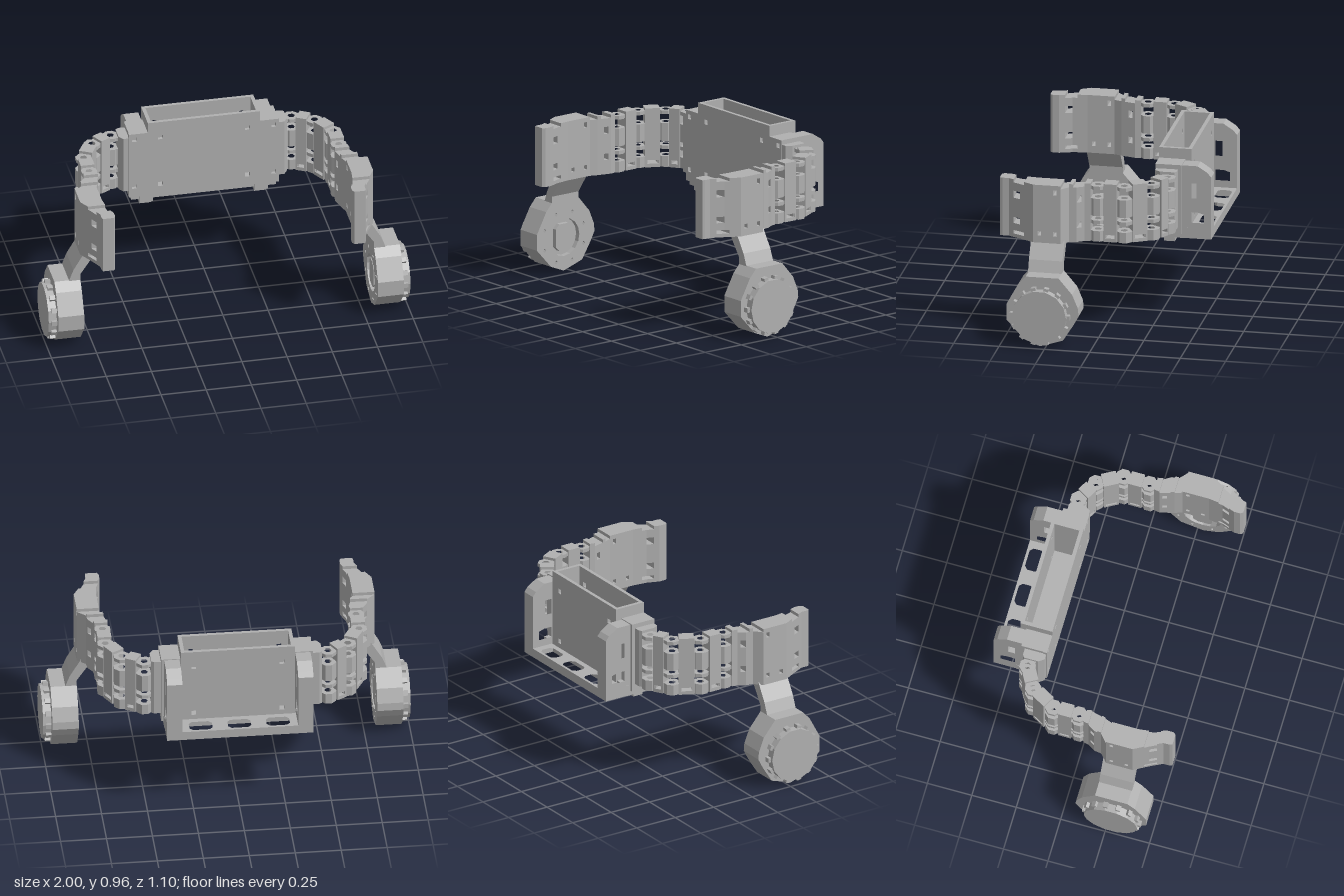
import * as THREE from 'three';

const grey = new THREE.MeshStandardMaterial({ color: 0xb0b0b0 });
grey.name = 'plain grey';

// Flat-faced copy of a geometry, mirrored in x when side is -1
function finish(geo, side) {
  const g = geo.index ? geo.toNonIndexed() : geo;
  if (side < 0) {
    const p = g.attributes.position;
    for (let i = 0; i < p.count; i += 3) {
      const a = [p.getX(i), p.getY(i), p.getZ(i)];
      p.setXYZ(i, p.getX(i + 2), p.getY(i + 2), p.getZ(i + 2));
      p.setXYZ(i + 2, ...a);
    }
    g.scale(-1, 1, 1);
  }
  g.computeVertexNormals();
  return g;
}

function add(group, name, geo, side = 1) {
  const mesh = new THREE.Mesh(finish(geo, side), grey);
  mesh.name = name;
  group.add(mesh);
}

function box(x0, x1, y0, y1, z0, z1) {
  return new THREE.BoxGeometry(x1 - x0, y1 - y0, z1 - z0)
    .translate((x0 + x1) / 2, (y0 + y1) / 2, (z0 + z1) / 2);
}

function extrude(points, holes, depth) {
  const shape = new THREE.Shape(points.map(p => new THREE.Vector2(...p)));
  for (const h of holes) shape.holes.push(new THREE.Path(h.map(p => new THREE.Vector2(...p))));
  return new THREE.ExtrudeGeometry(shape, { depth, bevelEnabled: false, curveSegments: 6 });
}
const negFirst = list => list.map(([z, y]) => [-z, y]);
const negSecond = list => list.map(([x, z]) => [x, -z]);
// (z, y) outline pushed along x
const alongX = (pts, x0, x1, holes = []) =>
  extrude(negFirst(pts), holes.map(negFirst), x1 - x0).rotateY(Math.PI / 2).translate(x0, 0, 0);
// (x, z) plan pushed along y
const alongY = (pts, y0, y1, holes = []) =>
  extrude(negSecond(pts), holes.map(negSecond), y1 - y0).rotateX(-Math.PI / 2).translate(0, y0, 0);
// (x, y) outline pushed along z
const alongZ = (pts, z0, z1, holes = []) => extrude(pts, holes, z1 - z0).translate(0, 0, z0);

const rect = (a0, a1, b0, b1) => [[a0, b0], [a1, b0], [a1, b1], [a0, b1]];
const chamfered = (a0, a1, b0, b1, c) => [[a0 + c, b0], [a1 - c, b0], [a1, b0 + c], [a1, b1 - c],
  [a1 - c, b1], [a0 + c, b1], [a0, b1 - c], [a0, b0 + c]];
const ngon = (a, b, r, n, turn = 0) => Array.from({ length: n }, (_, i) => {
  const t = turn + i / n * Math.PI * 2;
  return [a + r * Math.cos(t), b + r * Math.sin(t)];
});

// Central housing: hollow tray, side cheeks, slotted rear shelf and feet
function buildHousing(root) {
  const g = new THREE.Group();
  g.name = 'housing';
  const screws = xs => xs.flatMap(x => [0.57, 0.865].map(y => rect(x - 0.013, x + 0.013, y - 0.013, y + 0.013)));
  const front = [[-0.415, 0.505], [0.415, 0.505], [0.415, 0.9], [0.31, 0.9], [0.31, 0.96],
    [-0.31, 0.96], [-0.31, 0.9], [-0.415, 0.9]];
  add(g, 'frontPlate', alongZ(front, -0.265, -0.245, screws([-0.385, -0.24, 0.24, 0.385])));
  add(g, 'rearPanel', alongZ(rect(-0.31, 0.31, 0.52, 0.96), -0.425, -0.405, screws([-0.24, 0.24])));
  add(g, 'trayFloor', box(-0.4, 0.4, 0.48, 0.54, -0.42, -0.26));
  const slots = [-0.21, 0, 0.21].map(x => chamfered(x - 0.063, x + 0.063, -0.535, -0.455, 0.018));
  add(g, 'rearShelf', alongY(rect(-0.315, 0.315, -0.55, -0.415), 0.48, 0.53, slots));
  const cheek = [[-0.39, 0.48], [-0.39, 0.895], [-0.475, 0.895], [-0.53, 0.86], [-0.55, 0.835], [-0.55, 0.48]];
  const window = [[-0.43, 0.57], [-0.43, 0.63], [-0.475, 0.63], [-0.51, 0.62], [-0.51, 0.57]];
  for (const s of [1, -1]) {
    add(g, 'cheekBlock', box(0.31, 0.413, 0.505, 0.9, -0.39, -0.265), s);
    add(g, 'cheek', alongX(cheek, 0.315, 0.398, [window, rect(-0.47, -0.43, 0.71, 0.795)]), s);
    add(g, 'trayWall', box(0.29, 0.31, 0.54, 0.96, -0.41, -0.26), s);
    add(g, 'foot', box(0.285, 0.35, 0.44, 0.5, -0.34, -0.28), s);
    add(g, 'footStep', box(0.28, 0.355, 0.46, 0.53, -0.34, -0.255), s);
  }
  root.add(g);
}

// Hinge centres in plan (x, z)
const hinges = [[0.5, -0.33], [0.615, -0.265], [0.69, -0.13], [0.69, 0.015]];
const knuckleRows = [[0.545, 0.605], [0.645, 0.665], [0.69, 0.79], [0.84, 0.86]];

// Plan bar running between two points, from distance a to distance b
function bar(p, q, a, b, half) {
  const len = Math.hypot(q[0] - p[0], q[1] - p[1]);
  const dx = (q[0] - p[0]) / len, dz = (q[1] - p[1]) / len;
  const at = (t, w) => [p[0] + dx * t - dz * w, p[1] + dz * t + dx * w];
  return [at(a, -half), at(b, -half), at(b, half), at(a, half)];
}

function buildChain(arm, s) {
  const g = new THREE.Group();
  g.name = 'hingeChain';
  const stops = [[0.4, -0.312], ...hinges, [0.695, 0.1]];
  hinges.forEach((h, i) => {
    for (const [y0, y1] of knuckleRows) {
      add(g, 'knuckle', alongY(ngon(h[0], h[1], 0.046, 8, Math.PI / 8), y0, y1, [ngon(h[0], h[1], 0.02, 6)]), s);
      add(g, 'hingeTab', alongY(bar(h, stops[i], 0.032, 0.05, 0.03), y0, y1), s);
      add(g, 'hingeTab', alongY(bar(h, stops[i + 2], 0.032, 0.05, 0.03), y0, y1), s);
    }
  });
  for (let i = 0; i < 3; i++) {
    const [p, q] = [hinges[i], hinges[i + 1]];
    const len = Math.hypot(q[0] - p[0], q[1] - p[1]);
    add(g, 'link', alongY(bar(p, q, 0.036, len - 0.036, 0.038), 0.585, 0.875), s);
    // lower edge with a slot through it
    add(g, 'linkEdge', alongY(bar(p, q, 0.036, len - 0.036, 0.038), 0.545, 0.565), s);
    add(g, 'linkEdge', alongY(bar(p, q, 0.036, 0.046, 0.038), 0.565, 0.585), s);
    add(g, 'linkEdge', alongY(bar(p, q, len - 0.046, len - 0.036, 0.038), 0.565, 0.585), s);
  }
  add(g, 'chainMount', alongY([[0.41, -0.37], [0.45, -0.37], [0.465, -0.36], [0.465, -0.28], [0.445, -0.25], [0.41, -0.25]], 0.545, 0.875), s);
  arm.add(g);
}

// Side panel plan: z, inner x, outer x
const panelPlan = [[0.05, 0.66, 0.73], [0.08, 0.655, 0.735], [0.12, 0.665, 0.76], [0.16, 0.675, 0.765],
  [0.2, 0.69, 0.81], [0.35, 0.69, 0.81], [0.43, 0.68, 0.765], [0.5, 0.655, 0.73], [0.535, 0.655, 0.73], [0.55, 0.665, 0.725]];
// Rows of the panel: y from, y to, gaps in z
const panelRows = [
  [0.545, 0.565, []], [0.565, 0.585, [[0.405, 0.47]]], [0.585, 0.61, [[0.22, 0.24], [0.305, 0.325]]],
  [0.61, 0.625, []], [0.625, 0.66, [[0.095, 0.12], [0.43, 0.47]]], [0.66, 0.77, []],
  [0.77, 0.81, [[0.095, 0.12], [0.43, 0.47]]], [0.81, 0.82, []], [0.82, 0.85, [[0.22, 0.24]]],
  [0.85, 0.857, []], [0.857, 0.875, [[0.08, 0.14], [0.16, 0.2], [0.405, 0.47]]],
];
function panelAt(z) {
  let i = 0;
  while (i < panelPlan.length - 2 && panelPlan[i + 1][0] < z) i++;
  const [a, b] = [panelPlan[i], panelPlan[i + 1]];
  const t = (z - a[0]) / (b[0] - a[0]);
  return [z, a[1] + (b[1] - a[1]) * t, a[2] + (b[2] - a[2]) * t];
}
function buildPanel(arm, s) {
  const g = new THREE.Group();
  g.name = 'sidePanel';
  for (const [y0, y1, gaps] of panelRows) {
    const cuts = [0.05, ...gaps.flat(), 0.55];
    for (let i = 0; i < cuts.length; i += 2) {
      const [za, zb] = [cuts[i], cuts[i + 1]];
      const rows = [panelAt(za), ...panelPlan.filter(r => r[0] > za + 1e-4 && r[0] < zb - 1e-4), panelAt(zb)];
      const plan = [...rows.map(r => [r[1], r[0]]), ...rows.reverse().map(r => [r[2], r[0]])];
      add(g, 'panelSlice', alongY(plan, y0, y1), s);
    }
  }
  arm.add(g);
}

// Hanging drum with its strut, cap, teeth and recessed inner face
function buildDrum(arm, s) {
  const g = new THREE.Group();
  g.name = 'drum';
  const [cz, cy] = [0.28, 0.19];
  const strut = [[0.73, 0.55], [0.79, 0.56], [0.85, 0.46], [0.875, 0.395], [0.875, 0.34], [0.812, 0.34], [0.812, 0.43]];
  add(g, 'strut', alongZ(strut, 0.18, 0.365), s);
  const outline = [[0.283, 0.003], [0.156, 0.044], [0.097, 0.138], [0.07, 0.19], [0.074, 0.233], [0.106, 0.31],
    [0.18, 0.397], [0.362, 0.397], [0.404, 0.35], [0.468, 0.233], [0.468, 0.144], [0.371, 0.038]];
  add(g, 'drumBody', alongX(outline, 0.84, 0.955), s);
  const bolts = ngon(cz, cy, 0.145, 8, Math.PI / 8).map(([z, y]) => ngon(z, y, 0.012, 4));
  add(g, 'drumRim', alongX(outline, 0.812, 0.84, [ngon(cz, cy, 0.105, 16), ...bolts]), s);
  add(g, 'innerPlate', alongX(chamfered(cz - 0.055, cz + 0.055, cy - 0.075, cy + 0.075, 0.025), 0.815, 0.84), s);
  add(g, 'cap', alongX(ngon(cz, cy - 0.008, 0.15, 14), 0.955, 1), s);
  for (let i = 0; i < 14; i++) {
    const tooth = new THREE.BoxGeometry(0.03, 0.03, 0.026).translate(0.97, 0.15, 0);
    add(g, 'capTooth', tooth.rotateX((i + 0.5) / 14 * Math.PI * 2).translate(0, cy - 0.008, cz), s);
  }
  arm.add(g);
}

export function createModel() {
  const root = new THREE.Group();
  root.name = 'model';
  buildHousing(root);
  for (const s of [1, -1]) {
    const arm = new THREE.Group();
    arm.name = s > 0 ? 'leftArm' : 'rightArm';
    buildChain(arm, s);
    buildPanel(arm, s);
    buildDrum(arm, s);
    root.add(arm);
  }
  return root;
}
